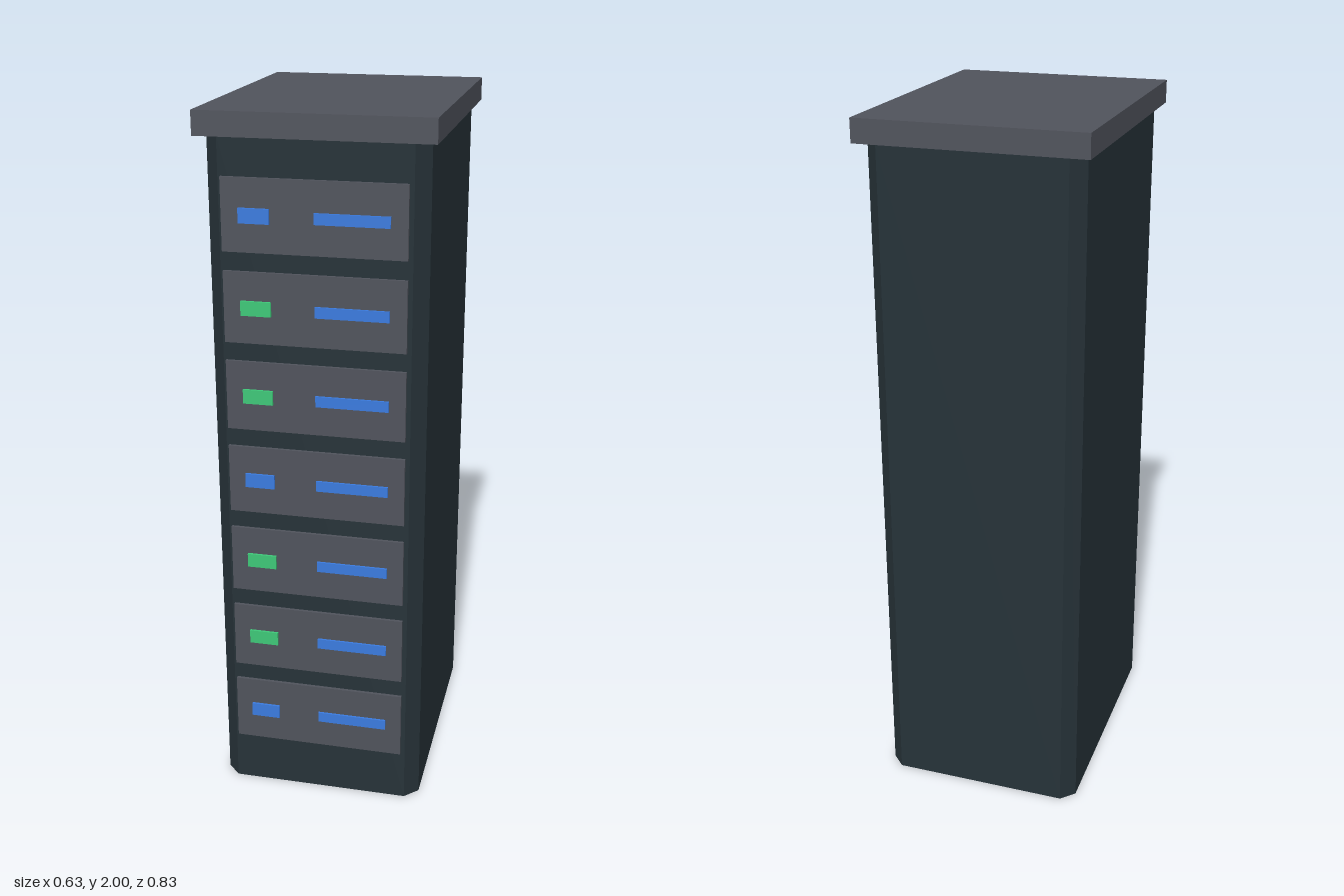
import * as THREE from 'three';

const material = (name, color) => {
  const m = new THREE.MeshStandardMaterial({ color });
  m.name = name;
  return m;
};

export function createModel() {
  const cabinetDark = material('cabinet dark', 0x263238);
  const slateGrey = material('slate grey', 0x50535c);
  const signalBlue = material('signal blue', 0x3a7bdf);
  const signalGreen = material('signal green', 0x3ec878);

  const model = new THREE.Group();
  model.name = 'serverCabinet';

  const addBox = (parent, name, mat, [w, h, d], [x, y, z]) => {
    const mesh = new THREE.Mesh(new THREE.BoxGeometry(w, h, d), mat);
    mesh.name = name;
    mesh.position.set(x, y, z);
    parent.add(mesh);
  };

  // Cabinet: rectangle with chamfered corners, extruded upwards
  const X = 0.295, Z = 0.395, C = 0.038, bodyHeight = 1.935;
  const outline = new THREE.Shape([
    [X, -Z + C], [X, Z - C], [X - C, Z], [-X + C, Z],
    [-X, Z - C], [-X, -Z + C], [-X + C, -Z], [X - C, -Z],
  ].map(([x, y]) => new THREE.Vector2(x, y)));
  const bodyGeometry = new THREE.ExtrudeGeometry(outline, { depth: bodyHeight, bevelEnabled: false });
  bodyGeometry.rotateX(-Math.PI / 2);
  const body = new THREE.Mesh(bodyGeometry, cabinetDark);
  body.name = 'cabinetBody';
  model.add(body);

  // Overhanging lid
  addBox(model, 'lid', slateGrey, [0.632, 0.065, 0.83], [0, 1.9675, 0]);

  // Seven rack units, each with a status lamp and a drive slot
  for (let i = 0; i < 7; i++) {
    const unit = new THREE.Group();
    unit.name = 'rackUnit' + (i + 1);
    unit.position.set(0, 0.25 + i * 0.2475, Z);
    addBox(unit, 'unitPanel', slateGrey, [0.494, 0.196, 0.009], [-0.002, 0, 0.0045]);
    addBox(unit, 'statusLamp', i % 3 === 0 ? signalBlue : signalGreen, [0.083, 0.04, 0.008], [-0.16, 0, 0.012]);
    addBox(unit, 'driveSlot', signalBlue, [0.2, 0.03, 0.007], [0.1, 0, 0.0115]);
    model.add(unit);
  }

  return model;
}
